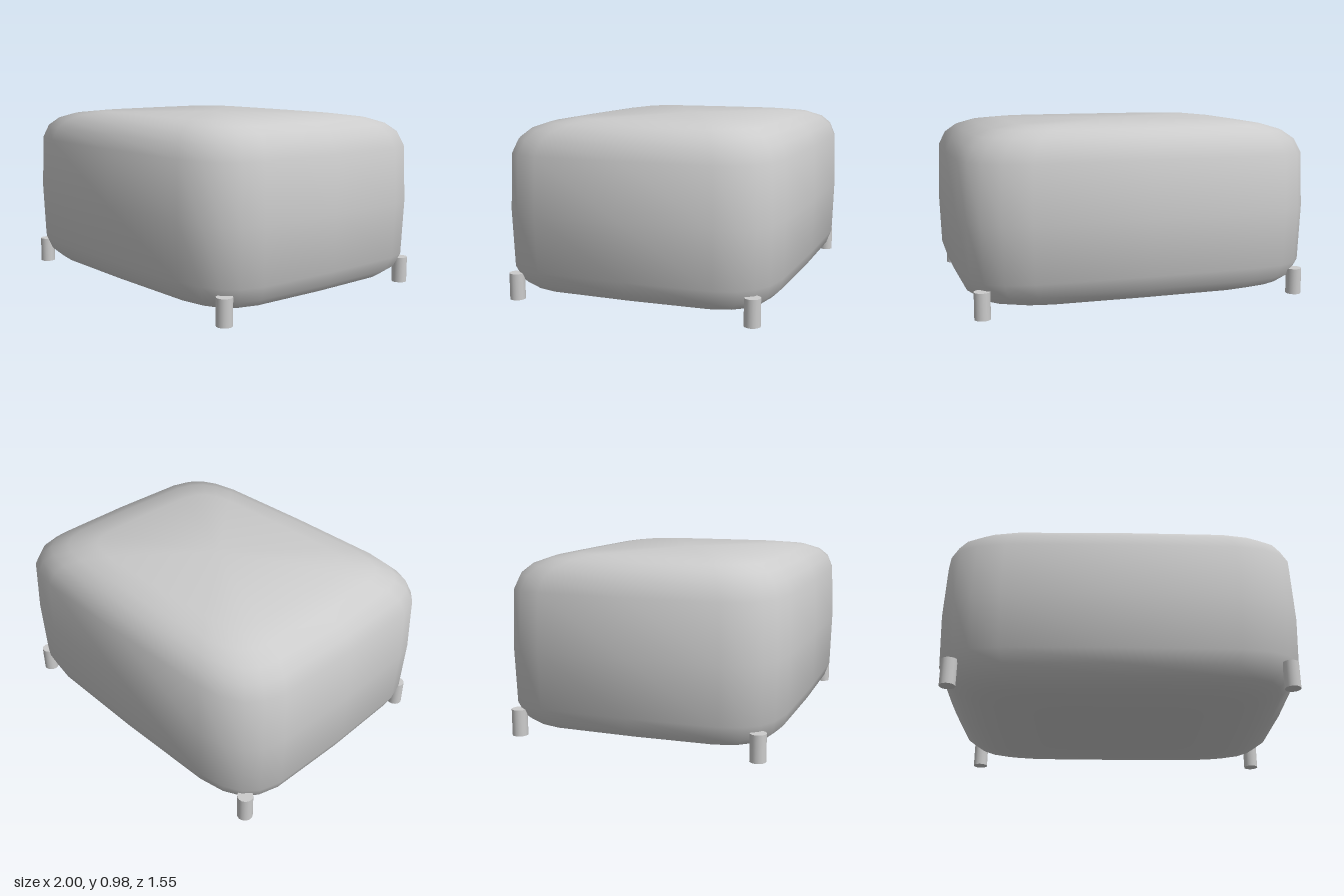
import * as THREE from 'three';

const material = new THREE.MeshStandardMaterial({ color: 0xcccccc });

// Cushion-like box: a sphere pushed out to a superellipsoid, keeping the sphere's soft normals
function pillowBox(halfX, halfY, halfZ, power) {
  const geometry = new THREE.SphereGeometry(1, 24, 12);
  const p = geometry.attributes.position;
  const swell = (v) => (Math.abs(v) < 1e-6 ? 0 : Math.sign(v) * Math.abs(v) ** power);
  for (let i = 0; i < p.count; i++) {
    p.setXYZ(i, halfX * swell(p.getX(i)), halfY * swell(p.getY(i)), halfZ * swell(p.getZ(i)));
  }
  return geometry;
}

export function createModel() {
  const model = new THREE.Group();
  model.name = 'pouf';

  // Soft body
  const body = new THREE.Mesh(pillowBox(1, 0.487, 0.775, 1 / 3), material);
  body.name = 'cushionBody';
  body.position.y = 0.492;
  model.add(body);

  // Four short round legs at the corners
  const legHeight = 0.146;
  const legGeometry = new THREE.CylinderGeometry(0.043, 0.043, legHeight, 16);
  for (const [end, sz] of [['front', 1], ['back', -1]]) {
    for (const [side, sx] of [['Left', 1], ['Right', -1]]) {
      const leg = new THREE.Mesh(legGeometry, material);
      leg.name = `${end}${side}Leg`;
      leg.position.set(sx * 0.89, legHeight / 2, sz * 0.67);
      model.add(leg);
    }
  }
  return model;
}
